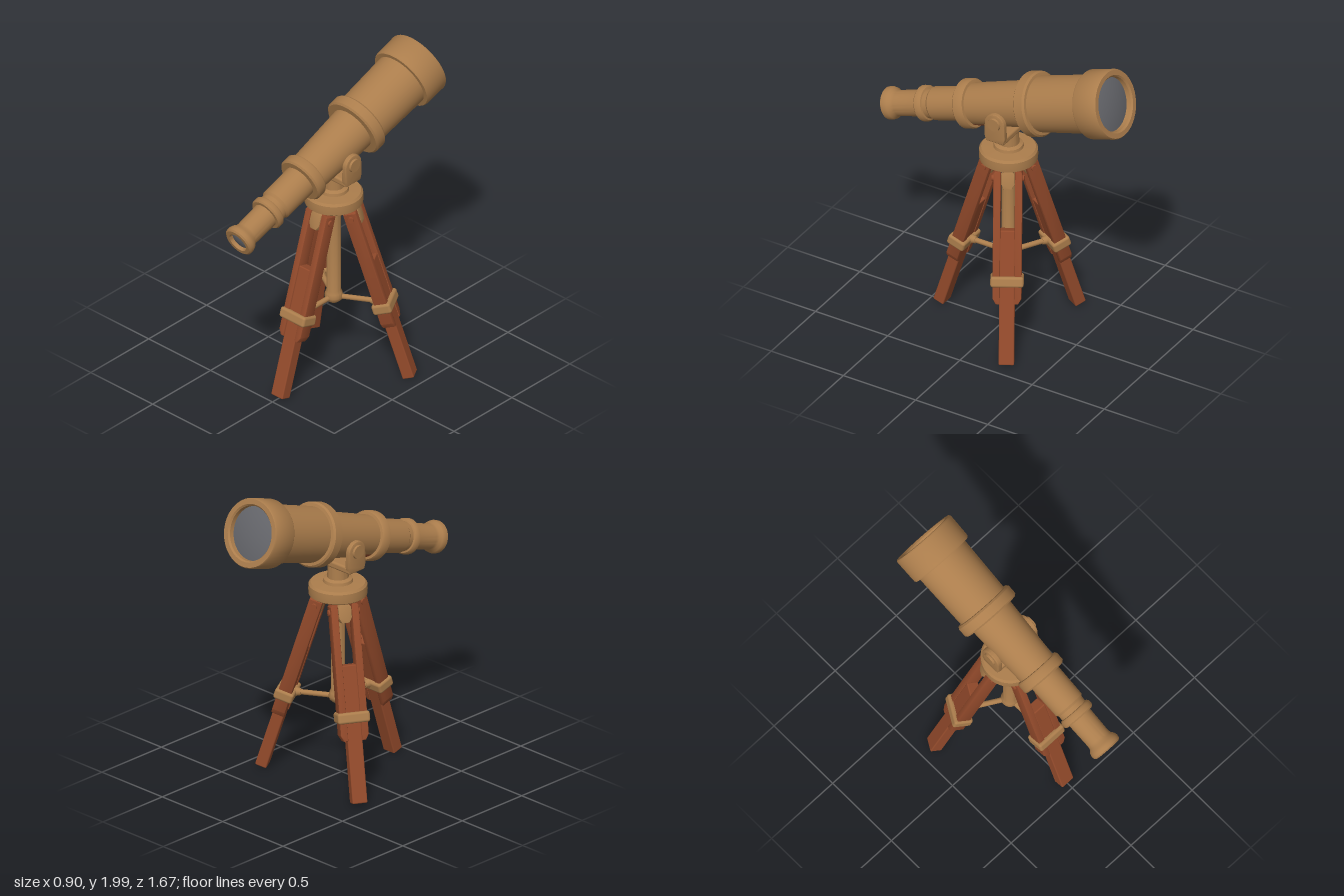
import * as THREE from 'three';
import { toCreasedNormals } from 'three/addons/utils/BufferGeometryUtils.js';
import { RoundedBoxGeometry } from 'three/addons/geometries/RoundedBoxGeometry.js';

const mat = (name, color) => {
  const m = new THREE.MeshStandardMaterial({ color });
  m.name = name;
  return m;
};

export function createModel() {
  const brass = mat('brass', 0xab7d4c);
  const wood = mat('redWood', 0x934a2b);
  const glass = mat('greyGlass', 0x66676c);

  const add = (parent, name, geo, material, x = 0, y = 0, z = 0) => {
    const mesh = new THREE.Mesh(geo, material);
    mesh.name = name;
    mesh.position.set(x, y, z);
    parent.add(mesh);
    return mesh;
  };
  const group = (parent, name) => {
    const g = new THREE.Group();
    g.name = name;
    parent.add(g);
    return g;
  };
  // profile points are [radius, height], listed bottom to top
  const lathe = (pts, start = 0, length = Math.PI * 2) => toCreasedNormals(
    new THREE.LatheGeometry(pts.map(p => new THREE.Vector2(...p)), 48, start, length), 0.6);
  const extrude = (shape, depth, bevel) => {
    const g = new THREE.ExtrudeGeometry(shape, {
      depth: depth - 2 * bevel, bevelSize: bevel, bevelThickness: bevel,
      bevelOffset: -bevel, bevelSegments: 2, curveSegments: 16,
    });
    g.translate(0, 0, -(depth - 2 * bevel) / 2);
    return toCreasedNormals(g, 0.6);
  };

  const model = new THREE.Group();
  model.name = 'telescopeOnTripod';

  // Telescope: drawn upright from eyepiece to objective, then tilted
  const scope = group(model, 'telescope');
  scope.position.set(0, 1.535, 0);
  scope.rotation.x = -1.244;
  add(scope, 'barrel', lathe([
    [0.056, -0.815], [0.064, -0.845], [0.088, -0.845], [0.098, -0.836], [0.1, -0.815], [0.094, -0.795],
    [0.081, -0.78], [0.077, -0.76], [0.08, -0.592],
    [0.1, -0.592], [0.108, -0.583], [0.108, -0.555], [0.1, -0.543], [0.09, -0.54],
    [0.09, -0.51], [0.101, -0.495], [0.103, -0.28],
    [0.14, -0.28], [0.15, -0.27], [0.15, -0.22], [0.142, -0.208], [0.125, -0.206],
    [0.143, 0.2], [0.185, 0.2], [0.196, 0.21], [0.196, 0.268], [0.186, 0.28], [0.168, 0.282],
    [0.176, 0.645], [0.202, 0.645], [0.208, 0.655], [0.21, 0.805], [0.204, 0.815],
    [0.174, 0.815], [0.165, 0.805], [0.162, 0.765],
  ]), brass);
  add(scope, 'objectiveLens', lathe([[0.165, 0.775], [0.12, 0.785], [0.06, 0.792], [0, 0.794]]), glass);
  add(scope, 'eyepieceLens', lathe([[0, -0.832], [0.035, -0.829], [0.06, -0.822]]), glass);
  add(scope, 'undersidePanel', lathe([[0.1285, -0.2], [0.1365, -0.02]], Math.PI - 0.8, 1.6), wood);

  // Everything below the barrel shares one upright axis
  const stand = group(model, 'stand');
  stand.position.z = -0.03;

  // Yoke holding the barrel
  const yoke = group(stand, 'yoke');
  const armShape = new THREE.Shape();
  armShape.moveTo(-0.06, 1.36);
  armShape.lineTo(0.06, 1.36);
  armShape.lineTo(0.072, 1.4);
  armShape.lineTo(0.068, 1.485);
  armShape.absarc(0, 1.485, 0.068, 0, Math.PI, false);
  armShape.lineTo(-0.072, 1.4);
  for (const side of [-1, 1]) {
    const arm = add(yoke, 'yokeArm', extrude(armShape, 0.034, 0.008), brass, side * 0.146);
    arm.rotation.y = Math.PI / 2;
    const knob = add(yoke, 'yokeKnob', new THREE.CylinderGeometry(0.04, 0.043, 0.016, 28), brass, side * 0.168, 1.488, 0);
    knob.rotation.z = -side * Math.PI / 2;
  }
  add(yoke, 'yokeBase', new RoundedBoxGeometry(0.32, 0.045, 0.13, 3, 0.014), brass, 0, 1.375, 0);

  // Neck and round top plate
  add(stand, 'topPlate', lathe([
    [0, 1.163], [0.16, 1.163], [0.174, 1.173], [0.176, 1.2], [0.174, 1.232], [0.162, 1.246],
    [0.09, 1.25], [0.086, 1.268], [0.064, 1.278], [0.061, 1.36], [0, 1.36],
  ]), brass);

  // Centre column with a turned end
  add(stand, 'column', lathe([
    [0, 0.462], [0.03, 0.466], [0.05, 0.484], [0.056, 0.505], [0.05, 0.53], [0.042, 0.548], [0.042, 1.165],
  ]), brass);

  // Legs: built upright with +z outward, tilted, then spun around the column
  const railShape = new THREE.Shape([
    [0.042, 0.385], [0.066, 0.385], [0.086, 0.42], [0.086, 1.19], [0.078, 1.2], [0.042, 1.2],
  ].map(p => new THREE.Vector2(...p)));
  const hingeShape = new THREE.Shape([
    [-0.04, 1.12], [-0.022, 1.088], [0.022, 1.088], [0.04, 1.12], [0.04, 1.185], [0.02, 1.205], [-0.02, 1.205], [-0.04, 1.185],
  ].map(p => new THREE.Vector2(...p)));

  for (let i = 0; i < 3; i++) {
    const leg = group(stand, 'leg');
    leg.rotation.y = i * Math.PI * 2 / 3;
    const post = group(leg, 'legPost');
    post.position.z = 0.465;
    post.rotation.x = -0.3;

    for (const side of [-1, 1]) {
      const rail = add(post, 'legRail', extrude(railShape, 0.082, 0.006), wood);
      if (side < 0) rail.rotation.y = Math.PI;
      const bolt = add(post, 'hingeBolt', new THREE.CylinderGeometry(0.018, 0.02, 0.012, 20), wood, side * 0.09, 1.155, 0);
      bolt.rotation.z = -side * Math.PI / 2;
    }
    add(post, 'lowerLeg', new RoundedBoxGeometry(0.092, 0.828, 0.072, 2, 0.008), wood, 0, 0.424, 0);
    add(post, 'hingeBlock', extrude(hingeShape, 0.08, 0.006), brass);
    add(post, 'legClamp', new RoundedBoxGeometry(0.198, 0.066, 0.118, 3, 0.016), brass, 0, 0.525, 0);

    // Brace from column to clamp
    const brace = add(leg, 'brace', new THREE.CylinderGeometry(0.016, 0.016, 0.28, 16), brass, 0, 0.502, 0.15);
    brace.rotation.x = Math.PI / 2;
    const collar = add(leg, 'braceCollar', new THREE.CylinderGeometry(0.028, 0.02, 0.03, 16), brass, 0, 0.502, 0.24);
    collar.rotation.x = Math.PI / 2;
  }
  return model;
}
